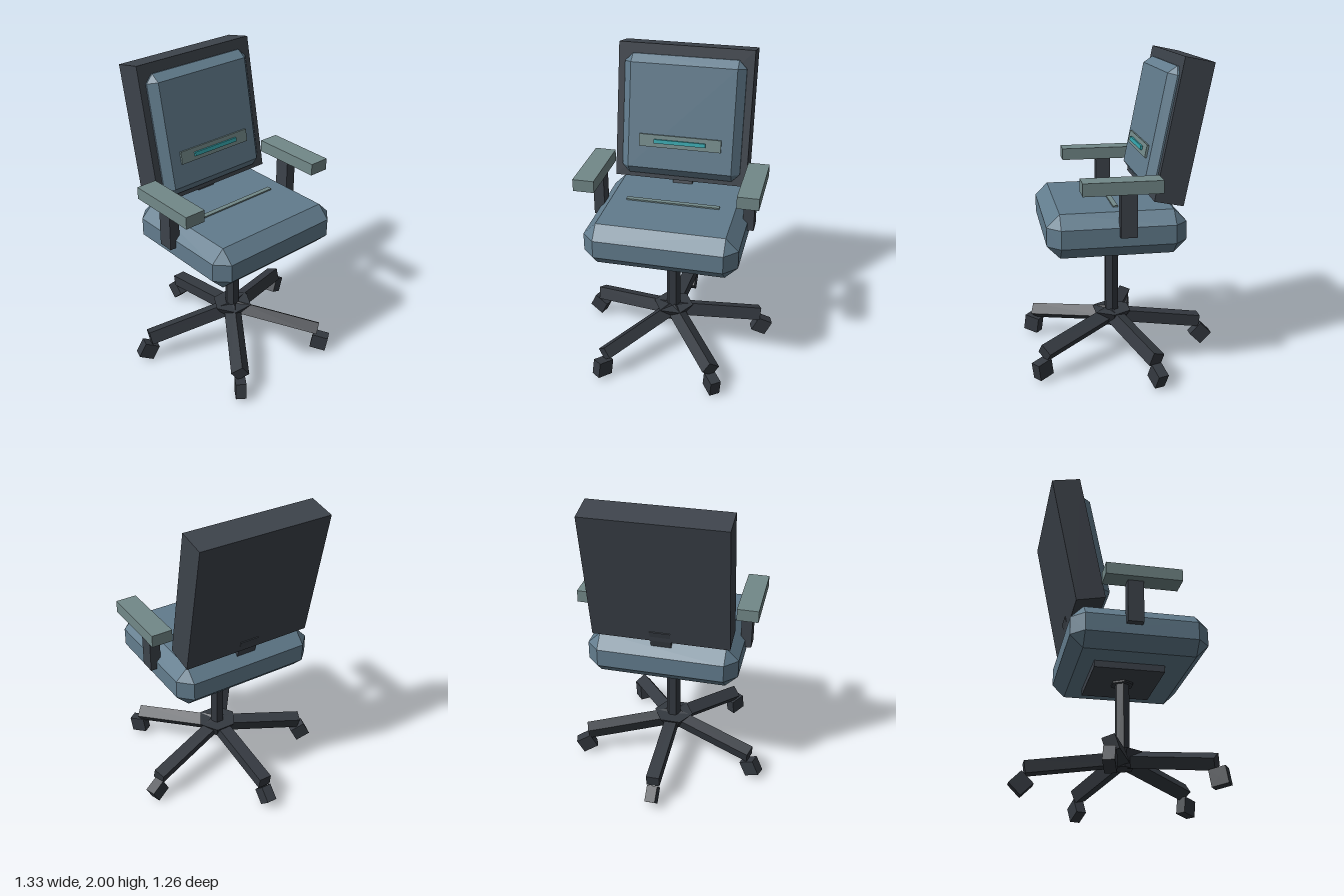
import * as THREE from 'three';
import { ConvexGeometry } from 'three/addons/geometries/ConvexGeometry.js';

const mat = (color) => new THREE.MeshStandardMaterial({ color, flatShading: true });
const frame = mat(0x3d434b), metal = mat(0x343940), fabric = mat(0x627c8d);
const trim = mat(0x728888), accent = mat(0x35a3aa);

const UP = new THREE.Vector3(0, 1, 0);
const AXIS_Z = 0.061; // the column and base stand slightly ahead of centre

function add(parent, name, geometry, material, x = 0, y = 0, z = 0) {
  const mesh = new THREE.Mesh(geometry, material);
  mesh.name = name;
  mesh.position.set(x, y, z);
  parent.add(mesh);
  return mesh;
}

const box = (w, h, d) => new THREE.BoxGeometry(w, h, d);

// Box with every edge and corner cut by c
function chamferedBox(w, h, d, c) {
  const points = [];
  const half = [w / 2, h / 2, d / 2];
  for (const sx of [-1, 1]) for (const sy of [-1, 1]) for (const sz of [-1, 1]) {
    for (let k = 0; k < 3; k++) {
      const p = half.map((v, i) => (i === k ? v : v - c));
      points.push(new THREE.Vector3(sx * p[0], sy * p[1], sz * p[2]));
    }
  }
  return new ConvexGeometry(points);
}

// Six-sided cylinder with corners on the x axis
const hexagon = (top, bottom, h) =>
  new THREE.CylinderGeometry(top, bottom, h, 6).rotateY(Math.PI / 6);

function createBackrest() {
  const back = new THREE.Group();
  back.name = 'backrest';
  back.position.set(0, 1.554, -0.305);
  back.rotation.x = -0.2;
  add(back, 'backShell', box(0.87, 0.872, 0.184), frame);
  add(back, 'backCushion', chamferedBox(0.78, 0.776, 0.15, 0.05), fabric, 0, -0.018, 0.077);
  add(back, 'lumbarPanel', box(0.534, 0.08, 0.02), trim, 0, -0.171, 0.155);
  add(back, 'lumbarStripe', box(0.336, 0.025, 0.02), accent, 0, -0.171, 0.169);
  return back;
}

function createBase() {
  const base = new THREE.Group();
  base.name = 'base';
  base.position.z = AXIS_Z;
  add(base, 'columnCollar', hexagon(0.075, 0.075, 0.03), metal, 0, 0.77, 0);
  add(base, 'column', hexagon(0.048, 0.048, 0.56), metal, 0, 0.49, 0);
  add(base, 'hub', hexagon(0.135, 0.07, 0.1), metal, 0, 0.253, 0);

  // Five sloping legs, one straight back, each ending in a square caster
  for (let i = 0; i < 5; i++) {
    const a = Math.PI + (i * Math.PI * 2) / 5;
    const out = new THREE.Vector3(Math.sin(a), 0, Math.cos(a));
    const tangent = new THREE.Vector3(Math.cos(a), 0, -Math.sin(a));
    const start = new THREE.Vector3(0, 0.265, 0);
    const end = out.clone().multiplyScalar(0.6).setY(0.175);
    const dir = end.clone().sub(start);

    const leg = add(base, 'leg', box(0.086, dir.length(), 0.078), metal);
    leg.position.copy(start).add(end).multiplyScalar(0.5);
    leg.quaternion.setFromUnitVectors(UP, dir.normalize());

    const caster = add(base, 'caster', new THREE.CylinderGeometry(0.075, 0.075, 0.068, 4), metal);
    caster.position.copy(out).multiplyScalar(0.616).setY(0.079);
    caster.quaternion.setFromUnitVectors(UP, tangent);
  }
  return base;
}

export function createModel() {
  const chair = new THREE.Group();
  chair.name = 'officeChair';

  // Seat
  add(chair, 'seatCushion', chamferedBox(0.966, 0.276, 0.857, 0.08), fabric, 0, 0.948, 0.09);
  add(chair, 'seatStripe', box(0.604, 0.02, 0.032), trim, 0, 1.085, 0.085);
  add(chair, 'seatPlate', box(0.48, 0.06, 0.445), frame, 0, 0.797, AXIS_Z);

  // Backrest and its support
  chair.add(createBackrest());
  const bracket = add(chair, 'backBracket', box(0.13, 0.24, 0.088), frame, 0, 1.08, -0.248);
  bracket.rotation.x = -0.33;

  // Armrests
  for (const s of [-1, 1]) {
    add(chair, 'armPost', box(0.07, 0.285, 0.1), frame, s * 0.489, 1.097, 0.04);
    add(chair, 'armPad', box(0.135, 0.078, 0.476), trim, s * 0.509, 1.27, 0.084);
  }

  chair.add(createBase());
  return chair;
}
